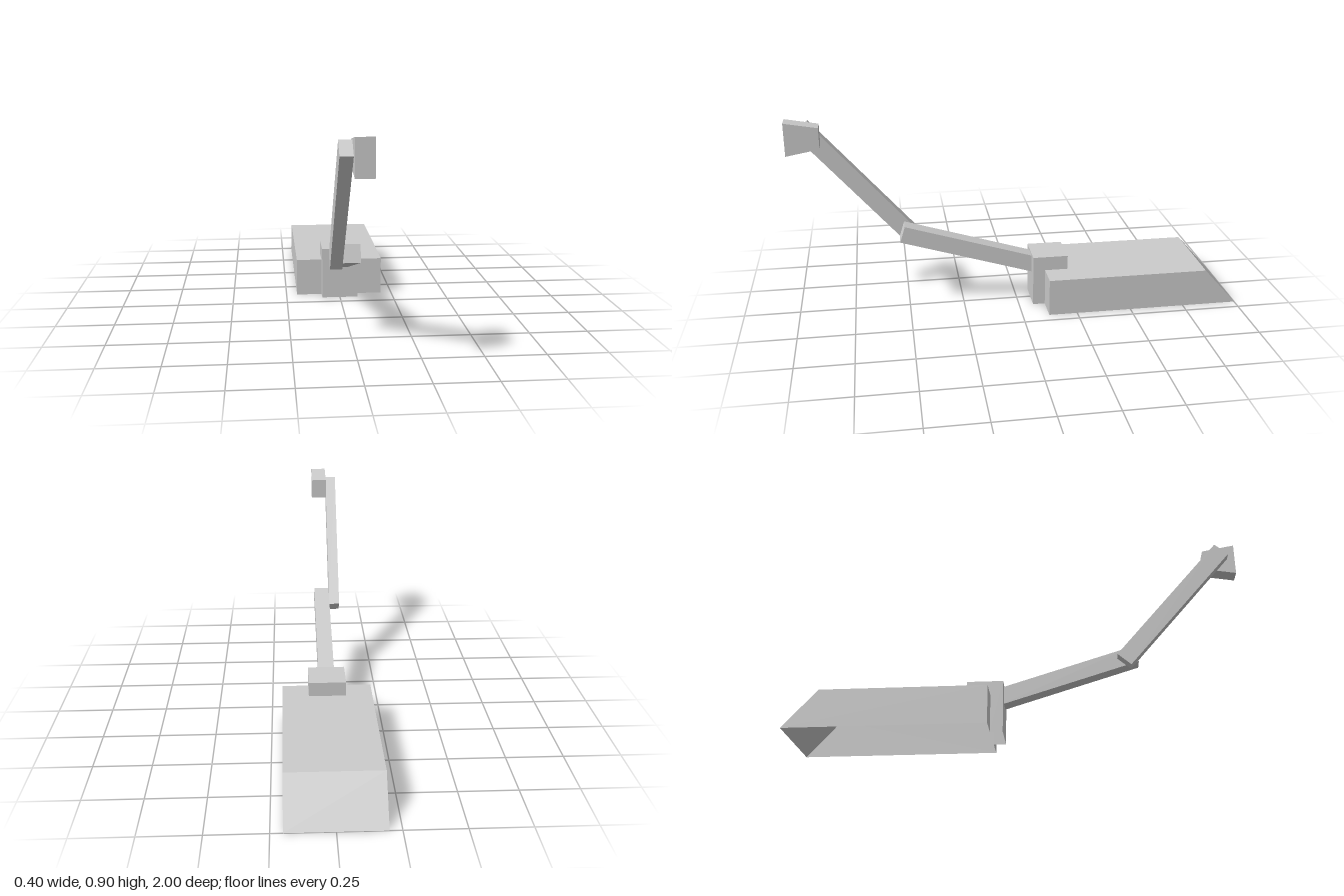
import * as THREE from 'three';

const solid = new THREE.MeshStandardMaterial({ color: 0xcccccc, flatShading: true });
const sheet = new THREE.MeshStandardMaterial({ color: 0xcccccc, flatShading: true, side: THREE.DoubleSide });

// Main outlines
const W = 0.2, H = 0.17, FRONT = -0.12, BACK = -1, RIDGE = -0.85;      // base
const MW = 0.083, MH = 0.235, MFRONT = -0.065, MBACK = -0.225;         // mount

// Shell made of convex panels, corners counter-clockwise from outside
function shell(name, panels) {
  const pos = [];
  for (const p of panels)
    for (let i = 1; i < p.length - 1; i++) pos.push(...p[0], ...p[i], ...p[i + 1]);
  const g = new THREE.BufferGeometry();
  g.setAttribute('position', new THREE.Float32BufferAttribute(pos, 3));
  g.computeVertexNormals();
  const m = new THREE.Mesh(g, sheet);
  m.name = name;
  return m;
}

// A panel together with its mirror image across x = 0
const mirrored = (p) => [p, p.map(([x, y, z]) => [-x, y, z]).reverse()];

// Square-ended bar between two points in the side plane, given as [z, y]
function bar(name, x0, x1, a, b, thickness) {
  const dz = b[0] - a[0], dy = b[1] - a[1];
  const m = new THREE.Mesh(new THREE.BoxGeometry(x1 - x0, thickness, Math.hypot(dz, dy)), solid);
  m.position.set((x0 + x1) / 2, (a[1] + b[1]) / 2, (a[0] + b[0]) / 2);
  m.rotation.x = -Math.atan2(dy, dz);
  m.name = name;
  return m;
}

export function createModel() {
  const model = new THREE.Group();
  model.name = 'jointedArm';

  // Base: hollow, open below, notched at the front where the mount sits
  model.add(shell('base', [
    ...mirrored([[W, 0, FRONT], [W, 0, BACK], [W, H, RIDGE], [W, H, FRONT]]),
    ...mirrored([[MW, 0, FRONT], [W, 0, FRONT], [W, H, FRONT], [MW, H, FRONT]]),
    ...mirrored([[MW, H, FRONT], [W, H, FRONT], [W, H, MBACK], [MW, H, MBACK]]),
    [[-W, H, MBACK], [W, H, MBACK], [W, H, RIDGE], [-W, H, RIDGE]],
    [[-W, H, RIDGE], [W, H, RIDGE], [W, 0, BACK], [-W, 0, BACK]],
  ]));

  // Mount: open block joined to the base
  model.add(shell('mount', [
    [[-MW, 0, MFRONT], [MW, 0, MFRONT], [MW, MH, MFRONT], [-MW, MH, MFRONT]],
    [[-MW, MH, MFRONT], [MW, MH, MFRONT], [MW, MH, MBACK], [-MW, MH, MBACK]],
    [[MW, H, MBACK], [-MW, H, MBACK], [-MW, MH, MBACK], [MW, MH, MBACK]],
    ...mirrored([[MW, 0, MFRONT], [MW, 0, FRONT], [MW, MH, FRONT], [MW, MH, MFRONT]]),
    ...mirrored([[MW, H, FRONT], [MW, H, MBACK], [MW, MH, MBACK], [MW, MH, FRONT]]),
  ]));

  // Two arm segments, the upper one alongside the lower
  model.add(bar('lowerArm', -0.037, 0.035, [-0.1, 0.175], [0.522, 0.367], 0.077));
  model.add(bar('upperArm', -0.088, -0.038, [0.468, 0.32], [0.935, 0.856], 0.078));

  // Head: block that flares towards the front
  const head = new THREE.BoxGeometry(0.072, 0.146, 0.145);
  const p = head.attributes.position;
  for (let i = 0; i < p.count; i++)
    if (p.getZ(i) < 0) p.setY(i, p.getY(i) > 0 ? 0.047 : -0.047);
  head.computeVertexNormals();
  const headMesh = new THREE.Mesh(head, solid);
  headMesh.position.set(-0.002, 0.83, 0.9275);
  headMesh.name = 'head';
  model.add(headMesh);

  return model;
}
